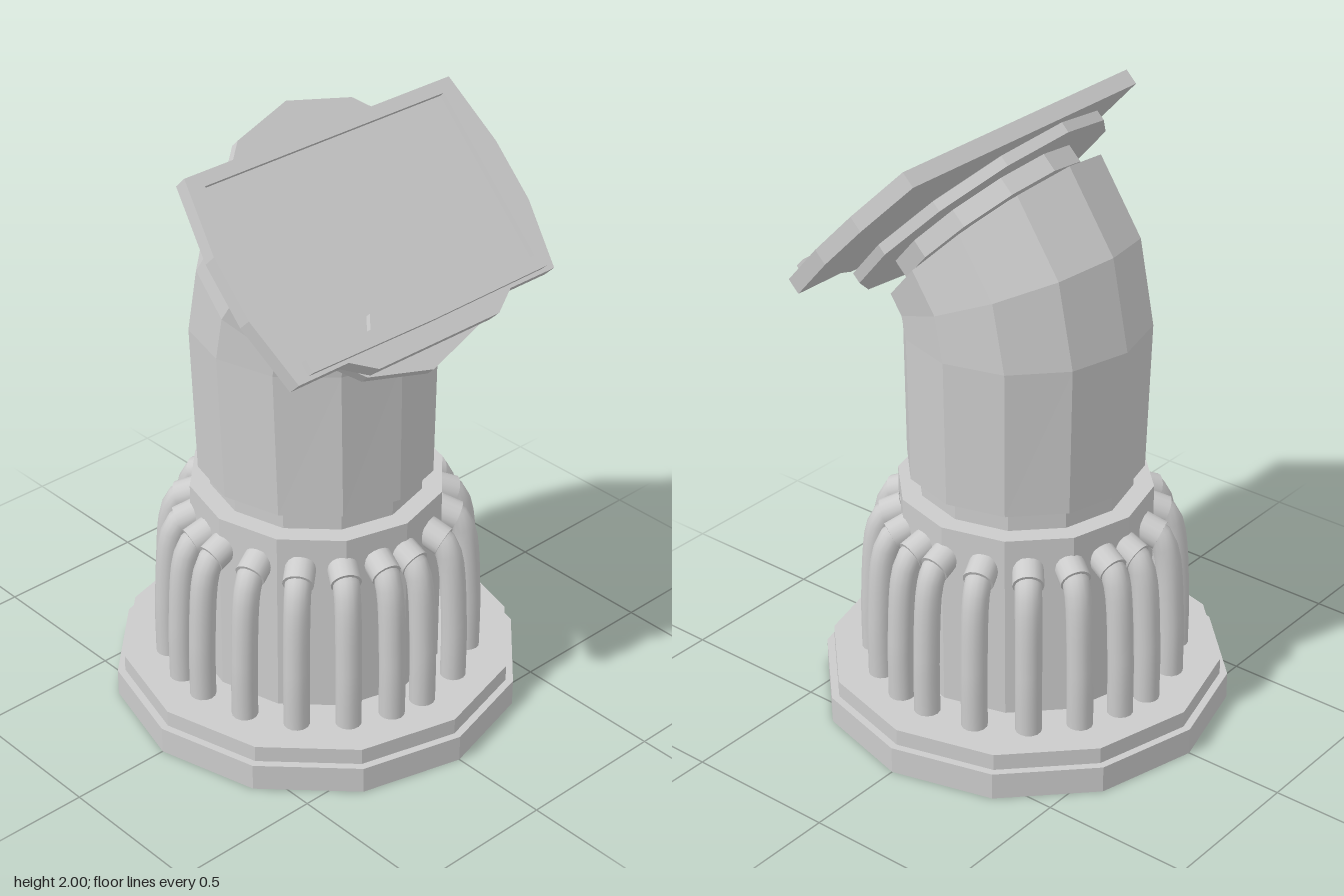
import * as THREE from 'three';

const flat = new THREE.MeshStandardMaterial({ color: 0xcccccc, flatShading: true });
const smooth = new THREE.MeshStandardMaterial({ color: 0xcccccc });

function add(parent, name, geometry, x = 0, y = 0, z = 0, material = flat) {
  const mesh = new THREE.Mesh(geometry, material);
  mesh.name = name;
  mesh.position.set(x, y, z);
  parent.add(mesh);
  return mesh;
}

// Twelve-sided drum between two heights
function drum(parent, name, r, y0, y1) {
  return add(parent, name, new THREE.CylinderGeometry(r, r, y1 - y0, 12), 0, (y0 + y1) / 2);
}

// Skin over equal-sized rings listed bottom to top, closed at both ends
function loft(rings) {
  const n = rings[0].length, pos = [], idx = [];
  rings.forEach(ring => ring.forEach(p => pos.push(p.x, p.y, p.z)));
  for (let k = 0; k < rings.length - 1; k++) {
    for (let i = 0; i < n; i++) {
      const a = k * n + i, b = k * n + (i + 1) % n;
      idx.push(a, a + n, b, b, a + n, b + n);
    }
  }
  const top = (rings.length - 1) * n;
  for (let i = 1; i < n - 1; i++) {
    idx.push(0, i, i + 1);
    idx.push(top, top + i + 1, top + i);
  }
  const g = new THREE.BufferGeometry();
  g.setAttribute('position', new THREE.Float32BufferAttribute(pos, 3));
  g.setIndex(idx);
  const out = g.toNonIndexed();
  out.computeVertexNormals();
  return out;
}

function ring(cx, y, rx, rz) {
  return Array.from({ length: 12 }, (_, i) => {
    const a = i * Math.PI / 6;
    return new THREE.Vector3(cx + rx * Math.cos(a), y, rz * Math.sin(a));
  });
}

// Outline mirrored about its long axis, from points on one side
function mirroredShape(points, Type = THREE.Shape) {
  const all = points.concat(points.slice().reverse().map(([x, y]) => [x, -y]));
  return new Type(all.map(([x, y]) => new THREE.Vector2(x, y)));
}

function slab(shape, depth) {
  const g = new THREE.ExtrudeGeometry(shape, { depth, bevelEnabled: false });
  return g.rotateX(-Math.PI / 2);
}

export function createModel() {
  const model = new THREE.Group();
  model.name = 'pedestalConsole';

  // Stepped base, core and neck
  drum(model, 'basePlate', 0.665, 0, 0.09);
  drum(model, 'baseStep', 0.64, 0.09, 0.145);
  drum(model, 'core', 0.41, 0.145, 0.77);
  drum(model, 'neck', 0.345, 0.77, 0.84);

  // Twenty pipes, five to each quarter turn
  const path = new THREE.CatmullRomCurve3([
    [0.492, 0.14], [0.49, 0.35], [0.468, 0.59], [0.44, 0.642], [0.37, 0.67]
  ].map(([r, y]) => new THREE.Vector3(r, y, 0)));
  const pipeGeometry = new THREE.TubeGeometry(path, 14, 0.042, 14);
  const socketGeometry = new THREE.CylinderGeometry(0.049, 0.049, 0.07, 16);
  for (let q = 0; q < 4; q++) {
    for (const offset of [0, 20, 40, 59, 76]) {
      const pipe = new THREE.Group();
      pipe.name = 'pipe';
      add(pipe, 'pipeTube', pipeGeometry, 0, 0, 0, smooth);
      const socket = add(pipe, 'pipeSocket', socketGeometry, 0.415, 0.652, 0, smooth);
      socket.rotation.z = Math.PI / 2 - 0.4;
      pipe.rotation.y = THREE.MathUtils.degToRad(q * 90 + offset);
      model.add(pipe);
    }
  }

  // Column, then an elbow hinged on its +x edge
  const pivot = new THREE.Vector3(0.375, 1.33, 0);
  const axis = new THREE.Vector3(0, 0, 1);
  const shoulder = ring(-0.008, 1.33, 0.383, 0.4);
  const bend = angle => shoulder.map(p => p.clone().sub(pivot).applyAxisAngle(axis, -angle).add(pivot));
  add(model, 'columnAndElbow', loft([
    ring(0, 0.84, 0.377, 0.385), shoulder, bend(Math.PI / 8), bend(Math.PI / 4)
  ]));

  // Tilted head: local x runs down the slope, local y points out of the screen
  const head = new THREE.Group();
  head.name = 'head';
  head.position.set(0.105, 1.6, 0);
  head.rotation.z = -Math.PI / 4;
  model.add(head);
  drum(head, 'headSpindle', 0.26, -0.01, 0.03);
  drum(head, 'headInnerDisc', 0.325, 0.018, 0.08);
  drum(head, 'headOuterDisc', 0.455, 0.078, 0.113);
  drum(head, 'screenMount', 0.17, 0.11, 0.155);

  // Screen housing with bulged sides, lower lip and recessed display
  const outline = mirroredShape([
    [0.396, 0.245], [0.343, 0.33], [0.343, 0.52], [0.12, 0.565], [-0.085, 0.565], [-0.325, 0.525]
  ]);
  add(head, 'screenBack', slab(outline, 0.033), 0, 0.152);
  const frame = outline.clone();
  frame.holes.push(mirroredShape([
    [0.24, 0.18], [0.283, 0.205], [0.283, 0.475], [-0.283, 0.475]
  ], THREE.Path));
  add(head, 'screenFrame', slab(frame, 0.02), 0, 0.185);
  const rail = mirroredShape([[0.335, 0], [0.33, 0.475], [0.287, 0.475]]);
  add(head, 'screenRail', slab(rail, 0.027), 0, 0.203);

  return model;
}
